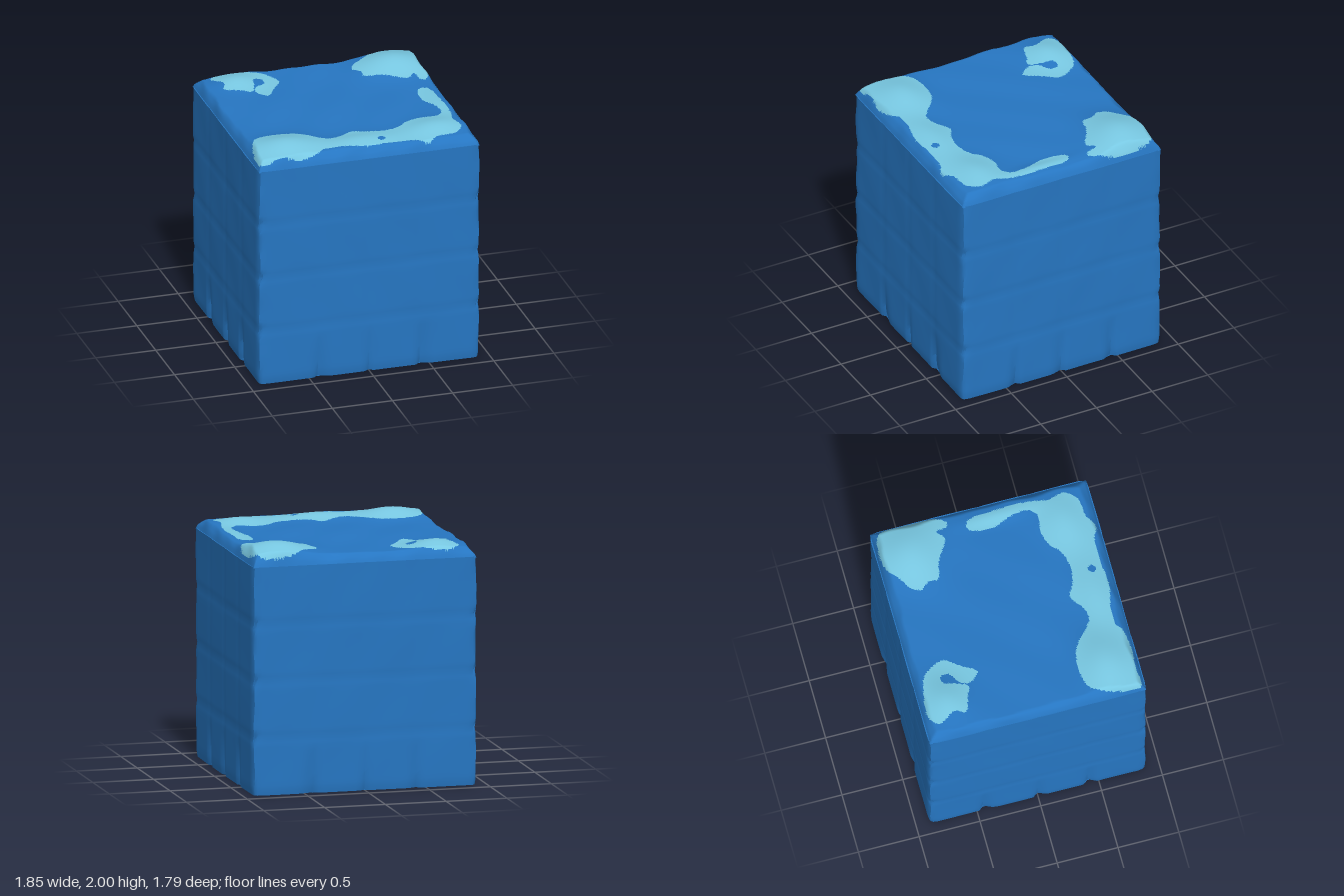
import * as THREE from 'three';
import { mergeVertices, toCreasedNormals } from 'three/addons/utils/BufferGeometryUtils.js';

const HX = 0.925, HZ = 0.897, WALL = 1.845;

const blue = new THREE.MeshStandardMaterial({ color: 0x2676c2 });
blue.name = 'blue ice';
const frost = new THREE.MeshStandardMaterial({ color: 0x78c8e2 });
frost.name = 'pale frost';

// Smooth repeatable waviness, about -1 to 1
const wave = (a, b) =>
  (Math.sin(a * 5.1 + b * 2.3) + Math.sin(b * 6.7 - a * 3.1 + 1.3) + Math.sin(a * 11.3 + b * 9.1 + 2)) / 3;
const bump = (d, r) => Math.exp(-(d * d) / (r * r));
const smooth = THREE.MathUtils.smoothstep;

// How far a wall point is pushed inward: a along the wall, y up
function wallDent(a, y, half, seed) {
  let d = 0.003 + 0.003 * wave(a + seed, y);
  // faint block seams
  for (const s of [0.46, 0.92, 1.38]) d += 0.004 * bump(y - s - 0.012 * wave(a, s + seed), 0.025);
  for (const s of [-0.43, 0, 0.43]) {
    d += 0.003 * bump(a - s, 0.025);
    // wedge-shaped chips at the foot, sharp on one side
    const t = a - s + 0.02;
    const width = 0.09 + 0.05 * Math.sin(seed * 3 + s * 7);
    if (t >= 0 && t < width) d += 0.035 * (1 - t / width) * Math.max(0, 1 - y / 0.38);
  }
  d += 0.008 * Math.max(0, 1 - y / 0.05);
  // worn vertical corners with chips at the seams
  const edge = half - Math.abs(a);
  let worn = 0.012 + 0.006 * wave(y * 2, seed);
  for (const s of [0.46, 0.92, 1.38]) worn += 0.014 * bump(y - s, 0.035);
  return d + worn * Math.max(0, 1 - edge / 0.06);
}

// Cube of packed blocks with worn sides
function makeBody() {
  let geo = new THREE.BoxGeometry(HX * 2, WALL, HZ * 2, 48, 48, 48);
  geo.translate(0, WALL / 2, 0);
  geo.deleteAttribute('normal');
  geo.deleteAttribute('uv');
  geo = mergeVertices(geo);
  const p = geo.attributes.position;
  for (let i = 0; i < p.count; i++) {
    const x = p.getX(i), y = p.getY(i), z = p.getZ(i);
    if (Math.abs(x) > HX - 1e-4) p.setX(i, x - Math.sign(x) * wallDent(z, y, HZ, Math.sign(x) + 2));
    if (Math.abs(z) > HZ - 1e-4) p.setZ(i, z - Math.sign(z) * wallDent(x, y, HX, Math.sign(z) + 5));
  }
  const mesh = new THREE.Mesh(toCreasedNormals(geo, 0.75), blue);
  mesh.name = 'blockBody';
  return mesh;
}

// Outlines of the frost patches, as x, z pairs
const patches = [
  [-0.8, -0.78, -0.72, -0.85, -0.5, -0.83, -0.38, -0.79, -0.28, -0.62, -0.35, -0.51, -0.45, -0.37,
    -0.52, -0.46, -0.5, -0.53, -0.41, -0.6, -0.42, -0.67, -0.48, -0.66, -0.5, -0.58, -0.55, -0.47,
    -0.63, -0.5, -0.76, -0.55, -0.73, -0.63],
  [0.33, -0.62, 0.36, -0.7, 0.45, -0.76, 0.55, -0.84, 0.7, -0.87, 0.87, -0.83, 0.9, -0.6,
    0.89, -0.4, 0.83, -0.28, 0.79, -0.3, 0.77, -0.38, 0.7, -0.33, 0.52, -0.43, 0.38, -0.47, 0.38, -0.55],
  [-0.9, 0.7, -0.82, 0.46, -0.68, 0.41, -0.48, 0.43, -0.35, 0.53, -0.25, 0.6, -0.15, 0.58, -0.03, 0.5,
    0.05, 0.54, 0.2, 0.57, 0.36, 0.53, 0.43, 0.46, 0.55, 0.42, 0.7, 0.43, 0.76, 0.37, 0.75, 0.22,
    0.69, 0.05, 0.73, -0.13, 0.8, -0.12, 0.83, 0.1, 0.83, 0.4, 0.8, 0.55, 0.83, 0.68, 0.75, 0.78,
    0.6, 0.8, 0.5, 0.86, 0.4, 0.82, 0.2, 0.81, 0, 0.83, -0.2, 0.79, -0.35, 0.79, -0.4, 0.83,
    -0.55, 0.86, -0.75, 0.85, -0.89, 0.86],
].map((flat) => {
  const pts = [];
  for (let i = 0; i < flat.length; i += 2) pts.push(new THREE.Vector3(flat[i], flat[i + 1], 0));
  return new THREE.CatmullRomCurve3(pts, true).getPoints(pts.length * 5);
});

function inside(x, z, poly) {
  let hit = false;
  for (let i = 0, j = poly.length - 1; i < poly.length; j = i++) {
    const a = poly[i], b = poly[j];
    if (a.y > z !== b.y > z && x < ((b.x - a.x) * (z - a.y)) / (b.y - a.y) + a.x) hit = !hit;
  }
  return hit;
}
const isFrost = (x, z) =>
  Math.hypot(x - 0.15, z - 0.73) > 0.03 && patches.some((poly) => inside(x, z, poly));

// Drifts on the top: x, z, radius in x, radius in z, height
const mounds = [
  [0.68, -0.63, 0.27, 0.24, 0.083],
  [-0.64, 0.62, 0.26, 0.2, 0.062],
  [0.64, 0.62, 0.25, 0.17, 0.045],
  [0, 0.7, 0.35, 0.14, 0.03],
  [-0.63, -0.68, 0.2, 0.16, 0.045],
  [0.79, 0.1, 0.07, 0.3, 0.02],
];

function topHeight(x, z) {
  let h = 1.915 + 0.007 * wave(x, z);
  for (const [mx, mz, rx, rz, up] of mounds) h += up * Math.exp(-(((x - mx) / rx) ** 2) - ((z - mz) / rz) ** 2);
  // uneven rim sloping down to the walls
  const wob = 0.02 * wave(x * 2, z * 2 + 1);
  const ex = (HX - 0.008 - Math.abs(x)) / (0.05 + wob);
  const ez = (HZ - 0.008 - Math.abs(z)) / (0.06 + wob);
  const e = Math.max(0, Math.min(ex, ez, 1));
  return THREE.MathUtils.lerp(1.838, h, 0.75 * Math.sqrt(e) + 0.25 * smooth(e, 0, 1));
}

// Uneven top surface, split into ice and frost
function makeTop() {
  const n = 140;
  const geo = new THREE.PlaneGeometry((HX - 0.008) * 2, (HZ - 0.008) * 2, n, n);
  geo.rotateX(-Math.PI / 2);
  const p = geo.attributes.position;
  for (let i = 0; i < p.count; i++) p.setY(i, topHeight(p.getX(i), p.getZ(i)));
  geo.computeVertexNormals();
  const lists = [[], []];
  const idx = geo.index.array;
  for (let i = 0; i < idx.length; i += 3) {
    const t = [idx[i], idx[i + 1], idx[i + 2]];
    const cx = t.reduce((s, k) => s + p.getX(k), 0) / 3;
    const cz = t.reduce((s, k) => s + p.getZ(k), 0) / 3;
    lists[isFrost(cx, cz) ? 1 : 0].push(...t);
  }
  geo.setIndex(lists[0].concat(lists[1]));
  geo.clearGroups();
  geo.addGroup(0, lists[0].length, 0);
  geo.addGroup(lists[0].length, lists[1].length, 1);
  const mesh = new THREE.Mesh(geo, [blue, frost]);
  mesh.name = 'frostedTop';
  return mesh;
}

export function createModel() {
  const model = new THREE.Group();
  model.name = 'iceBlock';
  model.add(makeBody(), makeTop());
  return model;
}
